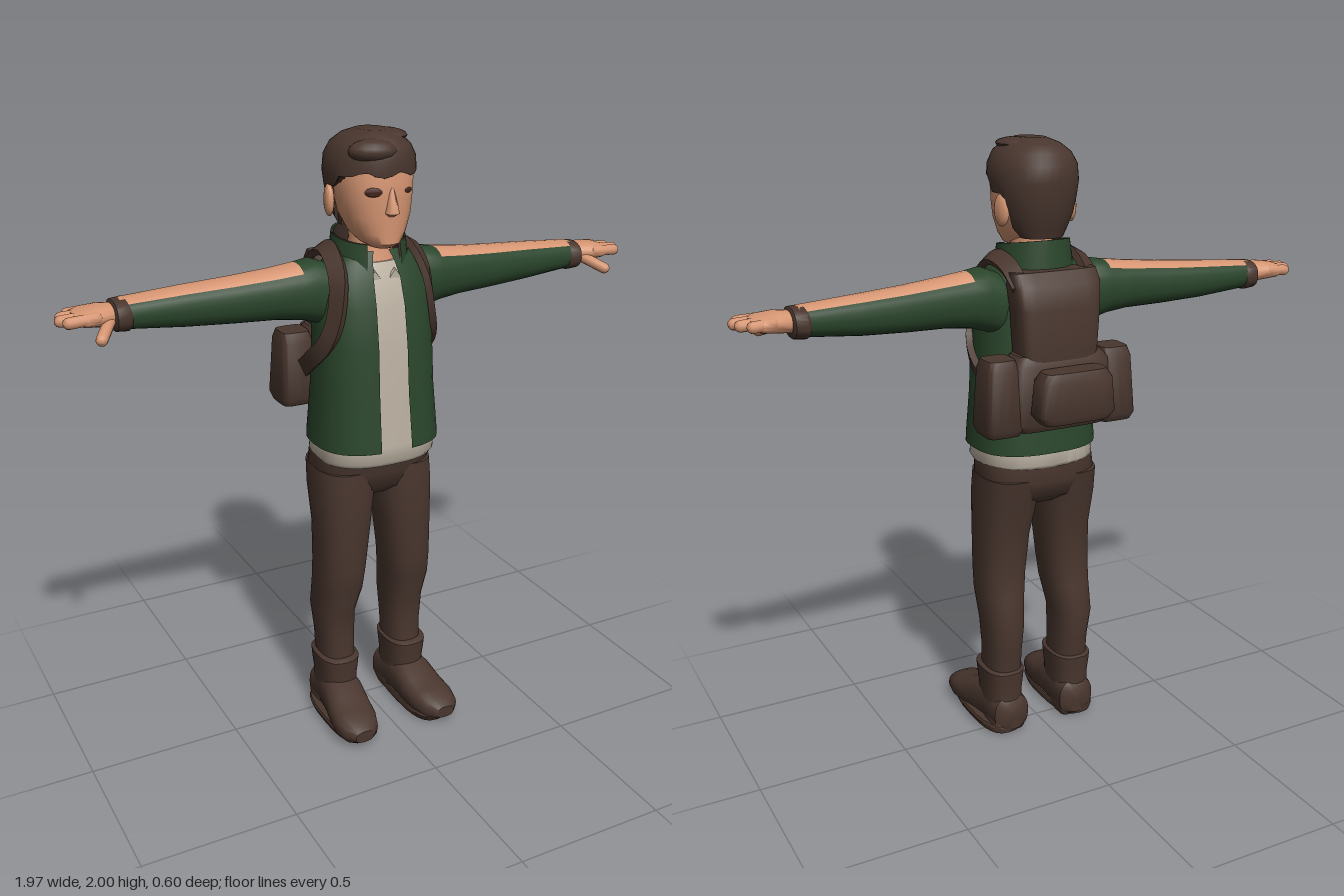
import * as THREE from 'three';
import { toCreasedNormals } from 'three/addons/utils/BufferGeometryUtils.js';

const mat = (name, color, side = THREE.FrontSide) => {
  const m = new THREE.MeshStandardMaterial({ color, side });
  m.name = name;
  return m;
};

// Closed skin over a list of rings; pick(row, column) gives a material index, or -1 for a gap.
function skinRings(rings, pick = () => 0, caps = true) {
  const n = rings[0].length, pos = [], lists = [[], []];
  rings.forEach(r => r.forEach(v => pos.push(v.x, v.y, v.z)));
  for (let i = 0; i < rings.length - 1; i++) for (let j = 0; j < n; j++) {
    const k = pick(i, j);
    if (k < 0) continue;
    const a = i * n + j, b = i * n + (j + 1) % n;
    lists[k].push(a, a + n, b, b, a + n, b + n);
  }
  if (caps) [0, rings.length - 1].forEach(i => {
    const c = new THREE.Vector3();
    rings[i].forEach(v => c.addScaledVector(v, 1 / n));
    const id = pos.length / 3;
    pos.push(c.x, c.y, c.z);
    for (let j = 0; j < n; j++) {
      const a = i * n + j, b = i * n + (j + 1) % n;
      lists[0].push(...(i ? [id, b, a] : [id, a, b]));
    }
  });
  const g = new THREE.BufferGeometry();
  g.setAttribute('position', new THREE.Float32BufferAttribute(pos, 3));
  g.setIndex([...lists[0], ...lists[1]]);
  if (lists[1].length) {
    g.addGroup(0, lists[0].length, 0);
    g.addGroup(lists[0].length, lists[1].length, 1);
  }
  return g;
}

// Superellipse sections [position, centreA, centreB, radiusA, radiusB] along an axis.
function loft(axis, sections, { n = 24, p = 2.4, pick, caps } = {}) {
  const pw = v => Math.sign(v) * Math.pow(Math.abs(v), 2 / p);
  return skinRings(sections.map(([t, ca, cb, ra, rb]) => Array.from({ length: n }, (_, j) => {
    const u = j / n * Math.PI * 2, a = ca + ra * pw(Math.cos(u)), b = cb + rb * pw(Math.sin(u));
    return axis === 'y' ? new THREE.Vector3(a, t, b)
      : axis === 'x' ? new THREE.Vector3(t, b, a) : new THREE.Vector3(b, a, t);
  })), pick, caps);
}

// Soft-edged box, optionally narrower at the top
const softBox = (y0, y1, cx, cz, rx, rz, top = 1) => loft('y', [
  [y0, cx, cz, rx * 0.86, rz * 0.8], [y0 + 0.025, cx, cz, rx, rz],
  [y1 - 0.03, cx, cz, rx * top, rz * top], [y1, cx, cz, rx * top * 0.85, rz * top * 0.75]], { p: 5 });

// Flat strap following a path, facing away from the chest
function ribbon(points, width, thick) {
  const curve = new THREE.CatmullRomCurve3(points.map(q => new THREE.Vector3(...q)));
  const rings = [];
  for (let i = 0; i <= 24; i++) {
    const c = curve.getPoint(i / 24), t = curve.getTangent(i / 24);
    const s = t.clone().cross(c.clone().sub(new THREE.Vector3(0, 1.4, 0.04))).normalize();
    const o = s.clone().cross(t);
    rings.push([[1, 1], [-1, 1], [-1, -1], [1, -1]].map(([a, b]) =>
      c.clone().addScaledVector(o, a * thick / 2).addScaledVector(s, -b * width / 2)));
  }
  return skinRings(rings);
}

function mirrored(g) {
  const m = g.clone().scale(-1, 1, 1), ix = m.index.array;
  for (let i = 0; i < ix.length; i += 3) [ix[i + 1], ix[i + 2]] = [ix[i + 2], ix[i + 1]];
  return m;
}

export function createModel() {
  const group = new THREE.Group();
  const brown = mat('dark brown', 0x49362e);
  const green = mat('jacket green', 0x2a452b, THREE.DoubleSide);
  const skin = mat('skin', 0xd59572);
  const cloth = mat('shirt cream', 0xbab0a1);
  const dark = mat('eye brown', 0x47271f);
  const lining = mat('collar lining', 0x3f2e27, THREE.DoubleSide);

  const add = (name, g, m, crease = 0.8) => {
    const mesh = new THREE.Mesh(toCreasedNormals(g, crease), m);
    mesh.name = name;
    group.add(mesh);
    return mesh;
  };
  const pair = (name, g, m) => {
    add('left ' + name, g, m);
    add('right ' + name, mirrored(g), m);
  };
  const ball = (x, y, z, rx, ry, rz, turn = 0) =>
    new THREE.SphereGeometry(1, 16, 10).scale(rx, ry, rz).rotateY(turn).translate(x, y, z);

  // Head and neck
  add('head', loft('y', [
    [1.655, 0, 0.1, 0.035, 0.05], [1.67, 0, 0.09, 0.058, 0.08], [1.7, 0, 0.07, 0.083, 0.1],
    [1.75, 0, 0.055, 0.104, 0.118], [1.8, 0, 0.05, 0.112, 0.124], [1.86, 0, 0.045, 0.117, 0.13],
    [1.93, 0, 0.04, 0.1, 0.12]], { p: 2.3, n: 28 }), skin);
  add('neck', loft('y', [[1.54, 0, 0.045, 0.085, 0.085], [1.6, 0, 0.035, 0.07, 0.07],
    [1.72, 0, 0.03, 0.06, 0.065]]), skin);
  add('nose', loft('y', [[1.755, 0, 0.165, 0.012, 0.012], [1.765, 0, 0.172, 0.022, 0.028],
    [1.785, 0, 0.17, 0.018, 0.026], [1.84, 0, 0.16, 0.009, 0.016]], { n: 10, p: 2 }), skin);
  pair('ear', ball(0.121, 1.785, -0.005, 0.016, 0.05, 0.032, 0.25), skin);
  add('right eye', ball(-0.056, 1.829, 0.162, 0.028, 0.014, 0.005, -0.32), dark);
  add('left eye', ball(0.06, 1.827, 0.16, 0.017, 0.008, 0.005, 0.34), dark);

  // Hair: a cap whose lower edge follows the hairline from fringe to nape
  const hair = loft('y', [
    [1.7, 0, -0.035, 0.07, 0.055], [1.73, 0, -0.005, 0.095, 0.095], [1.77, 0, 0.01, 0.116, 0.125],
    [1.82, 0, 0.02, 0.13, 0.145], [1.87, 0, 0.024, 0.138, 0.155], [1.92, 0, 0.026, 0.133, 0.156],
    [1.955, 0, 0.03, 0.115, 0.14], [1.98, 0, 0.035, 0.085, 0.11], [1.997, 0, 0.04, 0.045, 0.06]],
    { p: 2.1, n: 36 });
  const hp = hair.attributes.position;
  for (let i = 0; i < hp.count; i++) {
    const x = hp.getX(i), z = hp.getZ(i);
    const line = z > 0.06 ? 1.875 + 0.01 * Math.sin(x * 60) : z > -0.02 ? 1.835 : 1.7;
    hp.setY(i, Math.max(hp.getY(i), line));
  }
  add('hair', hair, brown);
  add('front hair lock', ball(-0.045, 1.945, 0.135, 0.075, 0.035, 0.045, -0.3), brown);
  add('crown hair lock', ball(0.03, 1.978, 0.05, 0.07, 0.02, 0.08, 0.5), brown);

  // Shirt
  add('shirt', loft('y', [
    [0.965, 0, 0.04, 0.19, 0.155], [0.98, 0, 0.04, 0.198, 0.167], [1.03, 0, 0.042, 0.193, 0.163],
    [1.2, 0, 0.045, 0.183, 0.143], [1.35, 0, 0.045, 0.178, 0.133], [1.48, 0, 0.035, 0.172, 0.123],
    [1.56, 0, 0.03, 0.15, 0.103], [1.605, 0, 0.025, 0.09, 0.085]], { n: 36, p: 2.6 }), cloth);
  pair('shirt collar', loft('z', [[0.125, 1.56, 0.035, 0.028, 0.022],
    [0.133, 1.56, 0.035, 0.024, 0.018]], { n: 4, p: 2 }), cloth);

  // Jacket, open down the front
  add('jacket', loft('y', [
    [1.02, 0, 0.045, 0.208, 0.176], [1.045, 0, 0.045, 0.207, 0.174], [1.2, 0, 0.045, 0.196, 0.156],
    [1.35, 0, 0.045, 0.191, 0.146], [1.48, 0, 0.035, 0.186, 0.136], [1.56, 0, 0.03, 0.175, 0.116],
    [1.61, 0, 0.025, 0.14, 0.098], [1.64, 0, 0.02, 0.1, 0.085]],
    { n: 36, p: 2.6, caps: false, pick: (i, j) => (j === 8 || j === 9 ? -1 : 0) }), green);
  const collar = (name, r, m) => {
    const g = new THREE.CylinderGeometry(r, r + 0.012, 0.1, 28, 2, true, 0.5, Math.PI * 2 - 1);
    const q = g.attributes.position;
    for (let i = 0; i < q.count; i++) q.setY(i, q.getY(i) - q.getZ(i) * 0.15);
    add(name, g.translate(0, 1.63, 0.02), m);
  };
  collar('collar', 0.116, green);
  collar('collar lining', 0.108, lining);

  // Sleeves, bare along the upper side of the arm
  pair('sleeve', loft('x', [
    [0.12, 0.01, 1.49, 0.08, 0.1], [0.19, 0.005, 1.515, 0.086, 0.1], [0.24, 0.003, 1.518, 0.083, 0.088],
    [0.32, 0, 1.518, 0.078, 0.078], [0.45, -0.01, 1.514, 0.071, 0.07], [0.6, -0.02, 1.513, 0.066, 0.061],
    [0.79, -0.025, 1.515, 0.06, 0.045]],
    { pick: (i, j) => (i >= 2 && j >= 3 && j < 9 ? 1 : 0) }), [green, skin]);
  pair('cuff', loft('x', [[0.765, -0.025, 1.512, 0.06, 0.044], [0.775, -0.025, 1.512, 0.067, 0.049],
    [0.81, -0.023, 1.512, 0.063, 0.046], [0.815, -0.023, 1.512, 0.052, 0.038]]), brown);

  // Hands
  pair('palm', loft('x', [[0.8, -0.022, 1.515, 0.042, 0.032], [0.85, -0.02, 1.52, 0.06, 0.032],
    [0.9, -0.02, 1.52, 0.068, 0.026], [0.93, -0.018, 1.52, 0.055, 0.017]]), skin);
  const finger = (a, b, r) => {
    const p = new THREE.Vector3(...a), d = new THREE.Vector3(...b).sub(p), l = d.length();
    const g = new THREE.CapsuleGeometry(r, l, 4, 10).translate(0, l / 2, 0);
    g.applyQuaternion(new THREE.Quaternion().setFromUnitVectors(new THREE.Vector3(0, 1, 0), d.normalize()));
    return g.translate(p.x, p.y, p.z);
  };
  [[-0.07, 0.93], [-0.036, 0.956], [-0.002, 0.966], [0.03, 0.95]].forEach(([z, x], i) =>
    pair('finger ' + (i + 1), finger([0.87, 1.524, z * 0.95], [x, 1.52, z], 0.018), skin));
  pair('thumb', finger([0.83, 1.505, 0.015], [0.875, 1.475, 0.083], 0.018), skin);

  // Trousers
  add('trouser seat', loft('y', [[0.83, 0, 0.02, 0.12, 0.08], [0.86, 0, 0.018, 0.18, 0.12],
    [0.92, 0, 0.016, 0.2, 0.138], [0.985, 0, 0.025, 0.194, 0.142]], { p: 2.7, n: 28 }), brown);
  pair('trouser leg', loft('y', [
    [0.17, 0.128, 0.02, 0.058, 0.08], [0.3, 0.128, 0.012, 0.06, 0.083], [0.4, 0.13, 0.006, 0.066, 0.094],
    [0.5, 0.125, 0.034, 0.075, 0.102], [0.58, 0.121, 0.042, 0.079, 0.104],
    [0.72, 0.113, 0.042, 0.087, 0.11], [0.85, 0.106, 0.026, 0.098, 0.128],
    [0.93, 0.103, 0.016, 0.097, 0.134]], { p: 2.5 }), brown);

  // Boots
  pair('boot shaft', loft('y', [[0.06, 0.13, 0.02, 0.064, 0.09], [0.15, 0.13, 0.022, 0.063, 0.09],
    [0.2, 0.13, 0.022, 0.068, 0.096], [0.225, 0.13, 0.022, 0.07, 0.098],
    [0.232, 0.13, 0.022, 0.06, 0.085]], { p: 2.6 }), brown);
  pair('boot foot', loft('z', [
    [-0.078, 0.06, 0.125, 0.045, 0.04], [-0.06, 0.068, 0.127, 0.066, 0.064], [0.03, 0.083, 0.13, 0.077, 0.066],
    [0.1, 0.08, 0.136, 0.072, 0.072], [0.16, 0.062, 0.143, 0.056, 0.076], [0.22, 0.054, 0.15, 0.047, 0.076],
    [0.27, 0.049, 0.154, 0.038, 0.062], [0.3, 0.046, 0.156, 0.02, 0.033]], { p: 2.6 }), brown);
  pair('boot sole', loft('y', [[0.003, 0.141, 0.1, 0.07, 0.172], [0.024, 0.142, 0.105, 0.077, 0.182],
    [0.032, 0.142, 0.105, 0.073, 0.178]], { p: 2.8 }), brown);
  pair('boot heel', softBox(0, 0.07, 0.13, -0.015, 0.062, 0.056), brown);

  // Backpack
  add('pack body', loft('y', [[1.14, 0, -0.12, 0.13, 0.05], [1.3, 0, -0.125, 0.125, 0.07],
    [1.5, 0, -0.125, 0.14, 0.066], [1.57, 0, -0.115, 0.148, 0.06], [1.61, 0, -0.105, 0.145, 0.035]],
    { p: 5 }), brown);
  add('pack base', softBox(1.12, 1.36, 0, -0.13, 0.18, 0.076, 0.93), brown);
  pair('side pouch', softBox(1.115, 1.355, 0.2, -0.125, 0.064, 0.075, 0.82), brown);
  add('rear pouch', softBox(1.165, 1.325, 0, -0.245, 0.132, 0.055, 0.93), brown);
  pair('shoulder strap', ribbon([[0.125, 1.57, -0.14], [0.13, 1.625, -0.06], [0.14, 1.638, 0.03],
    [0.15, 1.57, 0.113], [0.167, 1.45, 0.128], [0.187, 1.37, 0.105], [0.202, 1.3, 0.03],
    [0.185, 1.24, -0.07]], 0.055, 0.022), brown);

  return group;
}
